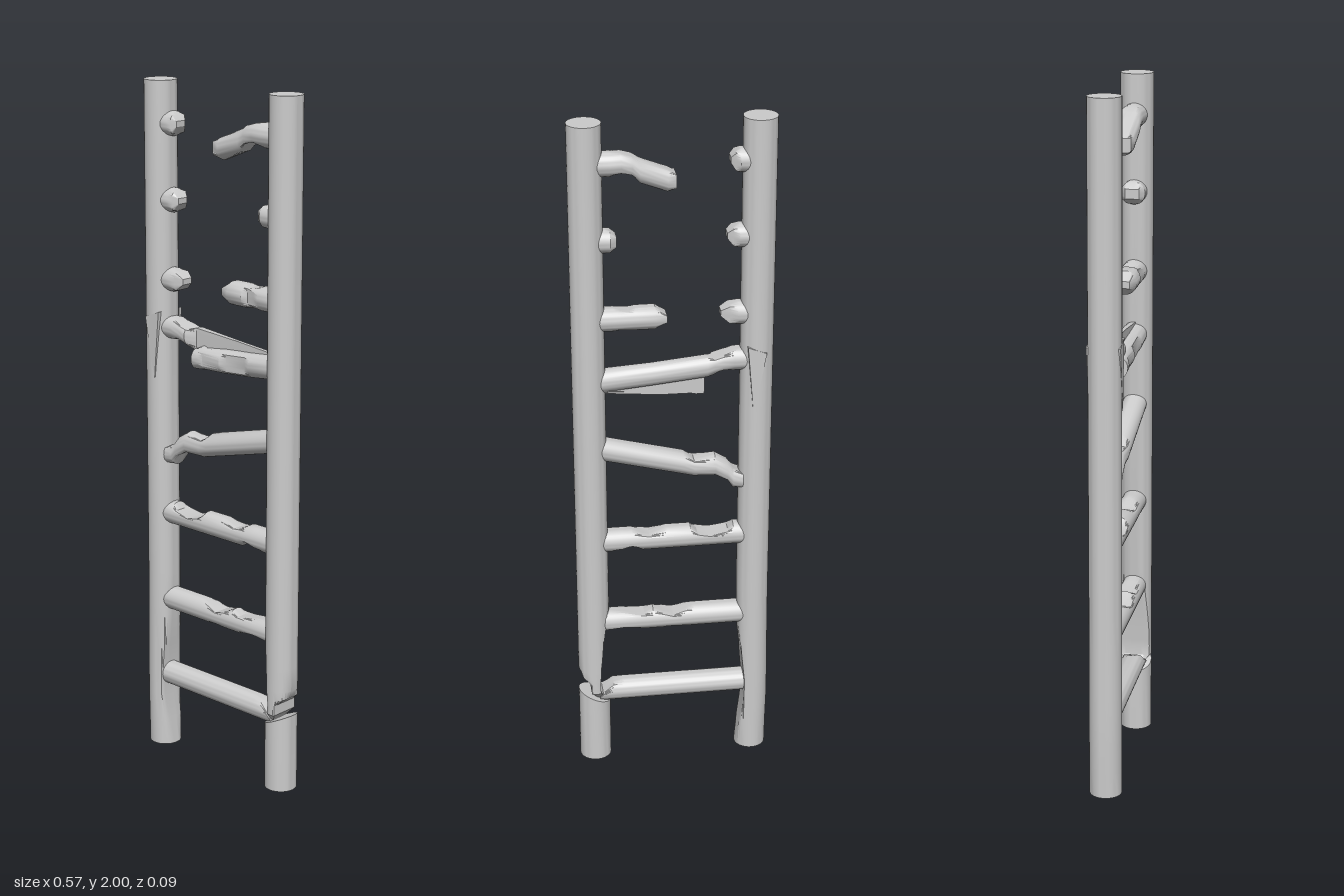
import * as THREE from 'three';
import { toCreasedNormals } from 'three/addons/utils/BufferGeometryUtils.js';

const SIDES = 32;
const RAIL_R = 0.047, RUNG_R = 0.035, RAIL_X = 0.236;

// A round bar whose circular section is cut flat at given limits, station by station.
// Station: [position along axis, centre, low cut, high cut, back cut, front cut, slant]
function carvedBar(axis, r, stations) {
  const pos = [], index = [];
  const put = (s, u, v) => {
    const [p, c, , , , , slant = 0] = s;
    const a = p + slant * v;
    if (axis === 'x') pos.push(a, c + v, u);
    else pos.push(c + v, a, u);
  };
  const tri = (a, b, c) => (axis === 'x' ? index.push(a, c, b) : index.push(a, b, c));
  const limits = ([, , lo = -r, hi = r, back = -r, front = r]) => [lo, hi, back, front];
  for (const s of stations) {
    const [lo, hi, back, front] = limits(s);
    for (let j = 0; j < SIDES; j++) {
      const t = (j / SIDES) * Math.PI * 2;
      put(s, THREE.MathUtils.clamp(r * Math.cos(t), back, front),
        THREE.MathUtils.clamp(r * Math.sin(t), lo, hi));
    }
  }
  const last = stations.length - 1;
  for (let i = 0; i < last; i++) {
    for (let j = 0; j < SIDES; j++) {
      const k = (j + 1) % SIDES, a = i * SIDES, b = a + SIDES;
      tri(a + j, a + k, b + j);
      tri(a + k, b + k, b + j);
    }
  }
  // end caps
  for (const i of [0, last]) {
    const [lo, hi, back, front] = limits(stations[i]);
    const centre = pos.length / 3;
    put(stations[i], (back + front) / 2, (lo + hi) / 2);
    for (let j = 0; j < SIDES; j++) {
      const a = i * SIDES + j, b = i * SIDES + ((j + 1) % SIDES);
      if (i === 0) tri(centre, b, a);
      else tri(centre, a, b);
    }
  }
  const g = new THREE.BufferGeometry();
  g.setAttribute('position', new THREE.Float32BufferAttribute(pos, 3));
  g.setIndex(index);
  return toCreasedNormals(g, 0.5);
}

export function createModel() {
  const group = new THREE.Group();
  const material = new THREE.MeshStandardMaterial({ color: 0xcccccc });
  const add = (name, geometry) => {
    const mesh = new THREE.Mesh(geometry, material);
    mesh.name = name;
    group.add(mesh);
    return mesh;
  };
  const rail = (name, stations) => add(name, carvedBar('y', RAIL_R, stations));
  const rung = (name, stations) => add(name, carvedBar('x', RUNG_R, stations));
  const R = RUNG_R, Q = RAIL_R;

  // Right-hand rail, worn thin and bowed near the foot
  rail('rightRail', [
    [0, -RAIL_X], [0.08, -0.237, -Q, 0.037], [0.16, -0.239, -Q, 0.028],
    [0.24, -0.239, -Q, 0.027], [0.32, -0.238, -Q, 0.033], [0.42, -0.237, -Q, 0.043],
    [0.55, -RAIL_X], [2, -RAIL_X],
  ]);

  // Left-hand rail, snapped through near the foot
  rail('leftRailFoot', [[0, RAIL_X], [0.213, RAIL_X, -Q, Q, -Q, Q, 0.45]]);
  rail('leftRail', [
    [0.205, RAIL_X, -0.036, -0.012, -0.02, 0.02], [0.235, RAIL_X, -0.016, 0.012],
    [0.265, RAIL_X, -0.014, 0.012], [0.285, RAIL_X, -0.016, 0.035],
    [0.31, RAIL_X, -0.018, Q], [0.38, RAIL_X, -0.024, Q],
    [0.45, RAIL_X, -0.034, Q], [0.51, RAIL_X], [2, RAIL_X],
  ]);

  // Splinter lifting from the right-hand rail
  const chip = new THREE.Shape([
    [-0.258, 1.325], [-0.205, 1.345], [-0.21, 1.29], [-0.222, 1.15], [-0.235, 1.2],
  ].map(([x, y]) => new THREE.Vector2(x, y)));
  const splinter = add('railSplinter',
    new THREE.ExtrudeGeometry(chip, { depth: 0.095, bevelEnabled: false }));
  splinter.position.z = -0.0475;

  // Lower rungs, still spanning the rails
  rung('rung1', [
    [-0.215, 0.225], [0.15, 0.225], [0.18, 0.225, -R, 0.026], [0.21, 0.225, -R, 0.0],
    [0.222, 0.225, -0.025, -0.01],
  ]);
  rung('rung2', [
    [-0.21, 0.468], [-0.06, 0.468], [-0.035, 0.468, -0.033, 0.024], [0, 0.468, -0.024, 0.012],
    [0.03, 0.468, -0.03, 0.02], [0.06, 0.468, -R, R], [0.085, 0.468, -R, 0.02],
    [0.11, 0.468, -0.022, 0.022], [0.15, 0.468, -0.016, 0.03], [0.185, 0.468, -0.02, R],
    [0.215, 0.468],
  ]);
  rung('rung3', [
    [-0.21, 0.738], [-0.175, 0.738], [-0.16, 0.738, -R, 0.016], [-0.11, 0.738, -R, 0.006],
    [-0.07, 0.738, -R, 0.014], [-0.05, 0.738, -R, R], [0.02, 0.738, -R, R],
    [0.07, 0.738, -R, 0.016], [0.09, 0.738, -R, 0.02], [0.12, 0.738, -0.01, R],
    [0.15, 0.738, -0.02, R], [0.18, 0.738], [0.215, 0.738],
  ]);

  // Slanted rung, split at its low end
  rung('slantedRung', [
    [-0.2, 0.92, -0.025, 0.02], [-0.172, 0.925, -R, 0.03], [-0.155, 0.945, -0.022, 0.035],
    [-0.12, 0.966, -0.024, 0.035], [-0.06, 0.97, -R, 0.018], [-0.03, 0.978], [0.215, 1.04],
  ]);

  // Split rung: back half holds, front half has dropped
  rung('splitRungBack', [
    [-0.215, 1.298], [-0.17, 1.297, -0.03, 0.03], [-0.14, 1.293, -0.02, 0.02],
    [-0.115, 1.287, -R, 0.018], [-0.095, 1.28, -R, 0.03, -R, 0.005],
    [0.06, 1.264, -R, 0.033, -R, 0], [0.215, 1.25, -R, R, -R, 0.005],
  ]);
  rung('splitRungFront', [
    [-0.088, 1.225, -0.028, 0.028, -0.012], [-0.065, 1.229, -R, R, -0.012],
    [-0.05, 1.23, -0.03, 0.03, -0.012, 0.028], [0.02, 1.233, -R, R, -0.012],
    [0.04, 1.234, -0.032, R, -0.012, 0.025], [0.11, 1.239, -0.032, R, -0.012, 0.025],
    [0.13, 1.241, -R, R, -0.012], [0.215, 1.25],
  ]);

  // Upper rungs, broken to stubs
  for (const [y, tip] of [[1.88, -0.155], [1.665, -0.148], [1.437, -0.132]]) {
    rung('rightStub', [
      [-0.205, y], [-0.18, y], [(tip - 0.18) / 2, y, -0.026, 0.026, -0.026, 0.03],
      [tip, y, -0.006, 0.01, -0.014, 0.02],
    ]);
  }
  rung('leftStubHigh', [
    [-0.008, 1.838, -0.026, 0.014, -0.028, 0.028], [0.015, 1.835, -R, 0.03],
    [0.09, 1.862, -0.03, R], [0.11, 1.878, -0.02, 0.028],
    [0.14, 1.885, -0.022, 0.03], [0.17, 1.884], [0.215, 1.884],
  ]);
  rung('leftStubMiddle', [
    [0.154, 1.667, -0.014, 0.014, -0.02, 0.02], [0.172, 1.667, -0.03, 0.03], [0.185, 1.667], [0.215, 1.667],
  ]);
  rung('leftStubLow', [
    [0.018, 1.436, -0.01, 0.01, -0.028, 0.02], [0.05, 1.436, -R, 0.033], [0.105, 1.436, -R, 0.033],
    [0.12, 1.436, -0.03, 0.026, -R, 0.024], [0.145, 1.436, -0.027, 0.028, -R, 0.028],
    [0.165, 1.436], [0.215, 1.436],
  ]);
  return group;
}
